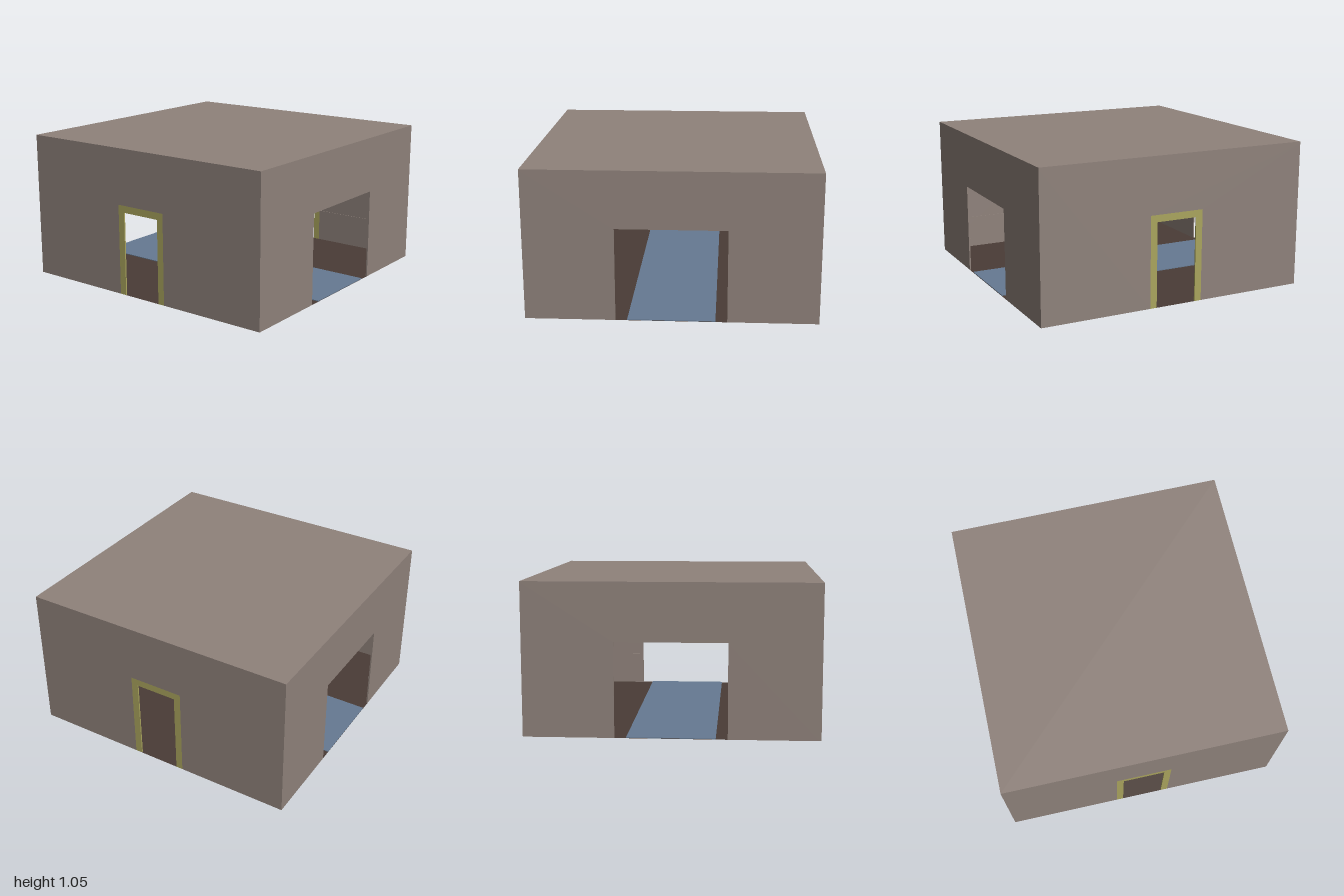
import * as THREE from 'three';

const T = 0.01;      // wall thickness
const H = 1.05;      // total height

const mat = (color) => new THREE.MeshStandardMaterial({ color, side: THREE.DoubleSide });

// Upright panel centred on x = 0, standing on y = 0, with an opening cut up from the floor
function archPanel(halfWidth, height, halfOpening, openingHeight, depth) {
  const s = new THREE.Shape([
    [-halfWidth, 0], [-halfOpening, 0], [-halfOpening, openingHeight],
    [halfOpening, openingHeight], [halfOpening, 0], [halfWidth, 0],
    [halfWidth, height], [-halfWidth, height],
  ].map(([x, y]) => new THREE.Vector2(x, y)));
  return new THREE.ExtrudeGeometry(s, { depth, bevelEnabled: false });
}

export function createModel() {
  const room = new THREE.Group();
  room.name = 'room';
  const wallMat = mat(0x8f827b);
  const frameMat = mat(0xaaa55e);
  const floorMat = mat(0x4a3c36);
  const stripMat = mat(0x667a92);

  const add = (parent, name, geometry, material, x = 0, y = 0, z = 0) => {
    const m = new THREE.Mesh(geometry, material);
    m.name = name;
    m.position.set(x, y, z);
    parent.add(m);
    return m;
  };

  // Slim rails inside a wall, one on each side of its opening
  const addRails = (side, halfOpening) => {
    const end = 1 - T;
    const length = end - halfOpening;
    for (const s of [-1, 1]) {
      add(side, 'wallRail', new THREE.BoxGeometry(length, 0.015, 0.004), wallMat,
        s * (halfOpening + length / 2), 0.24, 1 - T - 0.002);
    }
  };

  // Front and back walls with framed doorways
  for (const angle of [0, Math.PI]) {
    const side = new THREE.Group();
    side.name = angle ? 'backSide' : 'frontSide';
    side.rotation.y = angle;
    add(side, 'doorWall', archPanel(1, H - T, 0.2, 0.65, T), wallMat, 0, 0, 1 - T);
    add(side, 'doorFrame', archPanel(0.2, 0.65, 0.15, 0.6, T), frameMat, 0, 0, 1 - T);
    addRails(side, 0.2);
    room.add(side);
  }

  // Side walls with wide openings
  for (const s of [1, -1]) {
    const side = new THREE.Group();
    side.name = s > 0 ? 'leftSide' : 'rightSide';
    side.rotation.y = s * Math.PI / 2;
    add(side, 'openWall', archPanel(1 - T, H - T, 0.38, 0.65, T), wallMat, 0, 0, 1 - T);
    addRails(side, 0.38);
    room.add(side);
  }

  // Flat roof
  add(room, 'roof', new THREE.BoxGeometry(2, T, 2), wallMat, 0, H - T / 2, 0);

  // Thin floor with a walkway running between the wide openings
  const floor = add(room, 'floor', new THREE.PlaneGeometry(2, 2), floorMat);
  floor.rotation.x = -Math.PI / 2;
  add(room, 'walkway', new THREE.BoxGeometry(2, 0.005, 0.6), stripMat, 0, 0.0045, 0);

  return room;
}
